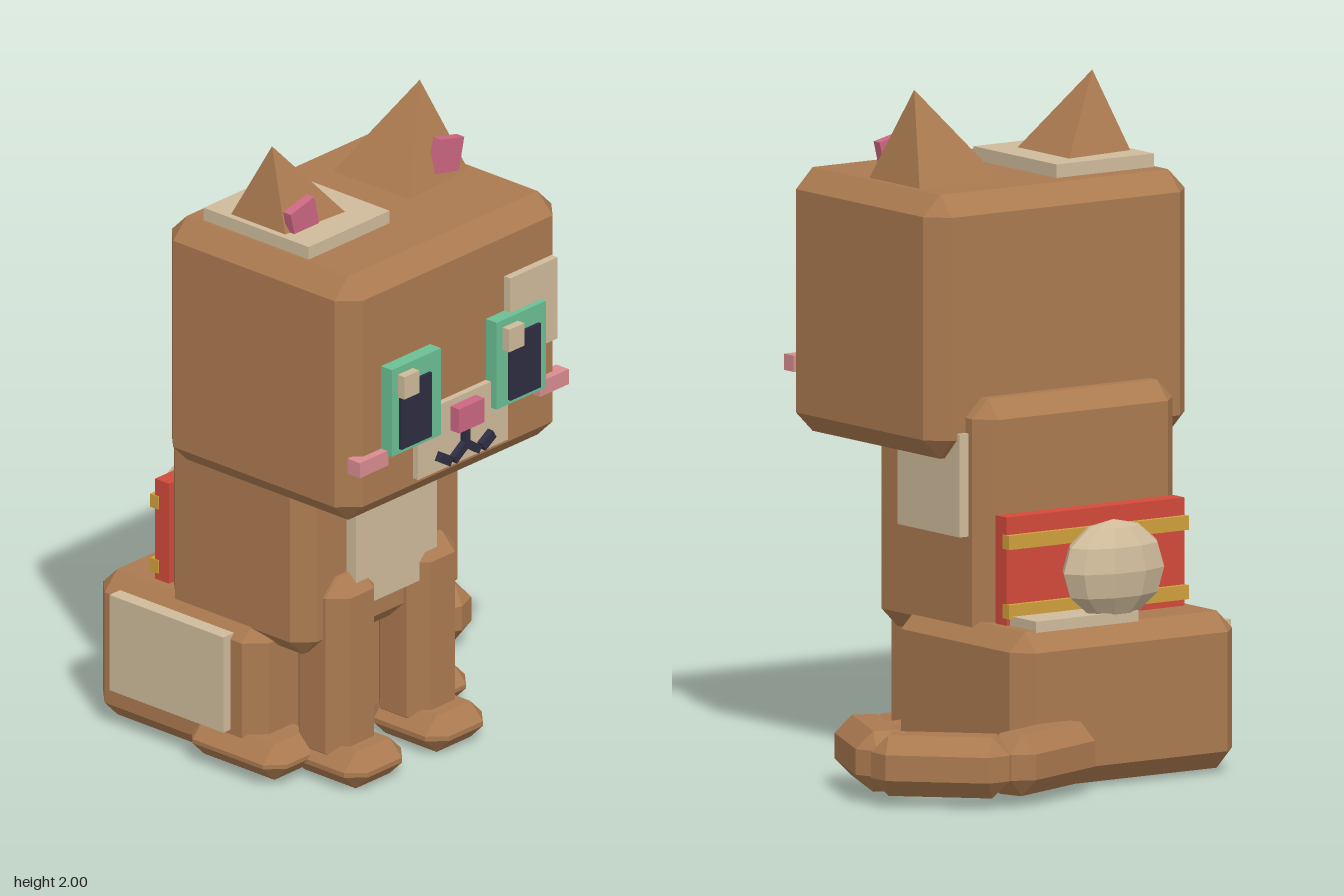
import * as THREE from 'three';
import { ConvexGeometry } from 'three/addons/geometries/ConvexGeometry.js';

const CX = -0.2; // mirror line of the cat's body

function material(name, color) {
  const m = new THREE.MeshStandardMaterial({ color });
  m.name = name;
  return m;
}

// Box with every edge cut off flat
function chamferBox(w, h, d, c) {
  const pts = [];
  for (const sx of [-1, 1]) for (const sy of [-1, 1]) for (const sz of [-1, 1]) {
    for (let full = 0; full < 3; full++) {
      const half = [w / 2, h / 2, d / 2].map((v, i) => (i === full ? v : v - c));
      pts.push(new THREE.Vector3(sx * half[0], sy * half[1], sz * half[2]));
    }
  }
  return new ConvexGeometry(pts);
}

export function createModel() {
  const group = new THREE.Group();
  const fur = material('brown fur', 0xab7a50);
  const cream = material('cream', 0xcfbb9b);
  const green = material('eye green', 0x6cbf94);
  const dark = material('dark navy', 0x2e2d42);
  const pink = material('pink', 0xcc6782);
  const blush = material('blush', 0xd98c90);
  const red = material('red', 0xd24a3a);
  const gold = material('gold', 0xd0a03c);

  const add = (name, geometry, mat) => {
    const mesh = new THREE.Mesh(geometry, mat);
    mesh.name = name;
    group.add(mesh);
    return mesh;
  };
  // Place a plain or chamfered box by its extents
  const block = (name, mat, [x0, x1], [y0, y1], [z0, z1], c = 0) => {
    const size = [x1 - x0, y1 - y0, z1 - z0];
    const geo = c ? chamferBox(...size, c) : new THREE.BoxGeometry(...size);
    const mesh = add(name, geo, mat);
    mesh.position.set((x0 + x1) / 2, (y0 + y1) / 2, (z0 + z1) / 2);
    return mesh;
  };

  // Body masses
  block('head', fur, [-0.67, 0.27], [0.95, 1.73], [-0.157, 0.6], 0.06);
  block('torso', fur, [-0.56, 0.16], [0.4, 1.13], [-0.245, 0.32], 0.056);
  block('haunches', fur, [-0.6, 0.2], [0.01, 0.475], [-0.488, 0.167], 0.056);

  // Cream fur patches
  block('chestPatch', cream, [-0.375, -0.025], [0.53, 1.0], [0.3, 0.357]);
  block('sidePatch', cream, [0.14, 0.192], [0.725, 1.03], [-0.17, 0.14]);
  block('haunchPatch', cream, [-0.63, -0.58], [0.13, 0.435], [-0.385, 0.065]);
  block('crownPatch', cream, [-0.6, -0.25], [1.71, 1.77], [-0.04, 0.375]);
  block('browPatch', cream, [0, 0.205], [1.285, 1.545], [0.58, 0.624]);
  block('muzzle', cream, [-0.395, -0.005], [1.03, 1.24], [0.58, 0.62]);
  block('rumpPatch', cream, [-0.26, 0.108], [0.46, 0.503], [-0.437, -0.2]);

  for (const s of [-1, 1]) {
    const at = (dx, w) => [CX + s * dx - w / 2, CX + s * dx + w / 2];

    // Legs and paws
    block('frontLeg', fur, at(0.175, 0.206), [0.04, 0.64], [0.175, 0.382], 0.052);
    block('frontPaw', fur, at(0.175, 0.246), [0, 0.115], [0.17, 0.472], 0.05);
    block('hindPaw', fur, at(0.315, 0.246), [0.015, 0.128], [-0.1, 0.278], 0.05);

    // Ear: four-sided pyramid leaning outward, with a pink inset
    const ear = [[0.32, 2.0, 0.157], [0.105, 1.72, -0.002], [0.393, 1.72, 0.027],
      [0.393, 1.72, 0.287], [0.105, 1.72, 0.312]];
    add('ear', new ConvexGeometry(ear.map(([x, y, z]) => new THREE.Vector3(CX + s * x, y, z))), fur);
    block('innerEar', pink, at(0.313, 0.105), [1.745, 1.85], [0.252, 0.282]).rotation.z = -s * 0.23;

    // Eyes and cheeks
    block('eye', green, at(0.227, 0.213), [1.157, 1.435], [0.59, 0.643]);
    block('pupil', dark, at(0.236, 0.132), [1.172, 1.377], [0.6, 0.653]);
    block('eyeShine', cream, s < 0 ? [-0.508, -0.443] : [-0.054, 0.012], [1.34, 1.412], [0.61, 0.669]);
    block('cheek', blush, at(0.39, 0.125), [1.123, 1.171], [0.576, 0.625]);

    // Mouth strokes, inner and outer
    block('mouthInner', dark, at(0.028, 0.065), [1.056, 1.081], [0.6, 0.64]).rotation.z = -s * 0.6;
    block('mouthOuter', dark, at(0.092, 0.055), [1.052, 1.082], [0.6, 0.64]).rotation.z = s * 0.55;
  }
  block('nose', pink, [-0.255, -0.145], [1.143, 1.22], [0.59, 0.655]);
  block('mouthLine', dark, [-0.21, -0.19], [1.07, 1.15], [0.6, 0.64]);

  // Tail: three chamfered segments curling round; [x, z, turn in degrees]
  for (const [x, z, turn] of [[0.167, -0.54, 20], [0.474, -0.478, -45], [0.505, -0.185, -114]]) {
    const part = add('tailSegment', chamferBox(0.41, 0.18, 0.18, 0.052), fur);
    part.position.set(x, 0.12, z);
    part.rotation.y = THREE.MathUtils.degToRad(turn);
  }

  // Red back panel with two gold bands and a faceted ornament
  block('backPanel', red, [-0.52, 0.12], [0.47, 0.795], [-0.305, -0.25]);
  for (const y of [0.517, 0.722]) {
    block('goldBand', gold, [-0.523, 0.123], [y - 0.021, y + 0.021], [-0.322, -0.29]);
  }
  const ball = new THREE.SphereGeometry(1, 10, 6).scale(0.178, 0.147, 0.092).toNonIndexed();
  ball.computeVertexNormals();
  add('ornament', ball, cream).position.set(CX, 0.626, -0.395);

  return group;
}
